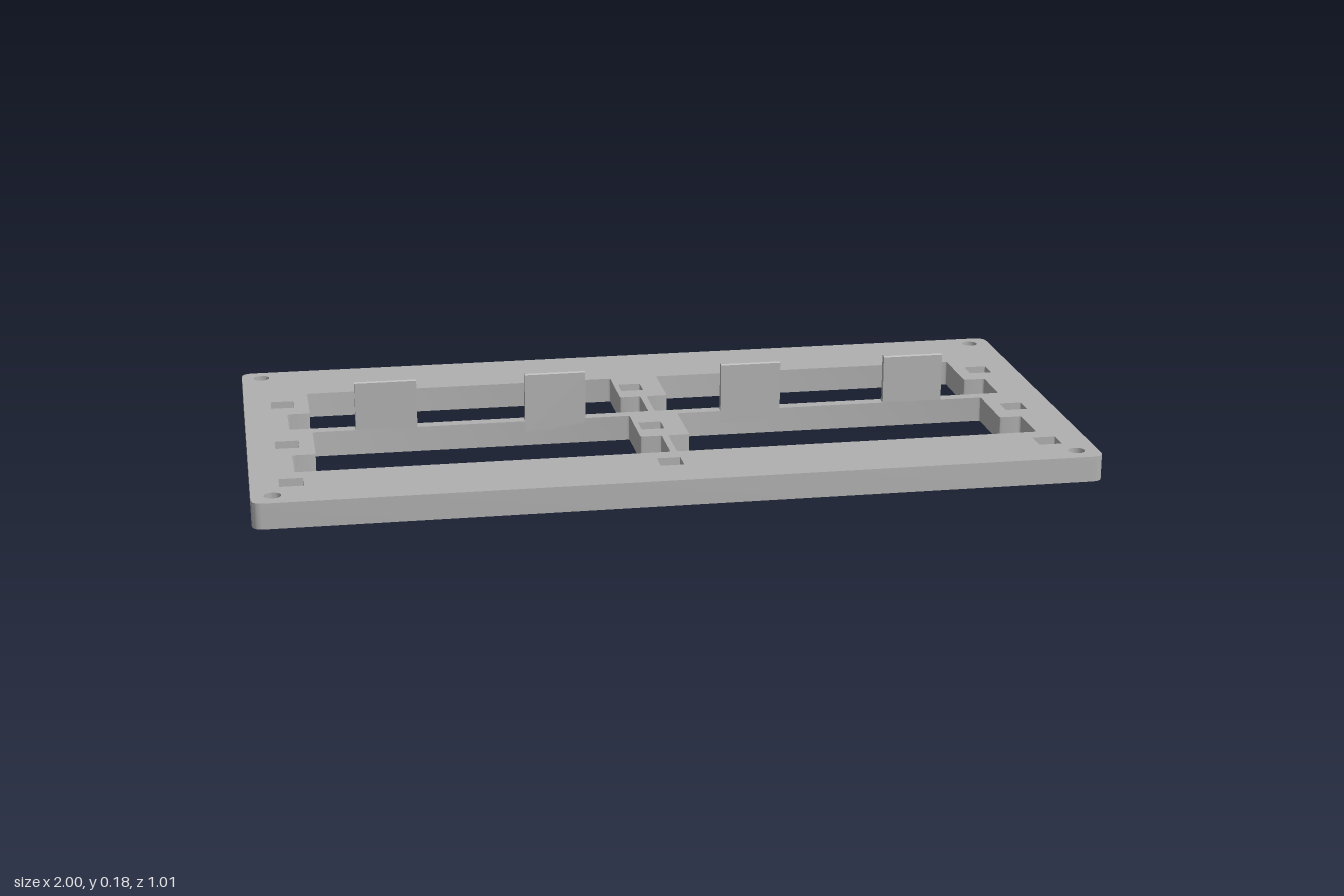
import * as THREE from 'three';
import { toCreasedNormals } from 'three/addons/utils/BufferGeometryUtils.js';

const H = 0.062; // plate thickness

// Closed outline with rounded corners, points given as [x, z]
function roundedPath(path, pts, r) {
  const v = pts.map(([x, z]) => new THREE.Vector2(x, z));
  v.forEach((p, i) => {
    const prev = v[(i + v.length - 1) % v.length], next = v[(i + 1) % v.length];
    const a = p.clone().add(prev.clone().sub(p).setLength(r));
    const b = p.clone().add(next.clone().sub(p).setLength(r));
    if (i === 0) path.moveTo(a.x, a.y); else path.lineTo(a.x, a.y);
    path.quadraticCurveTo(p.x, p.y, b.x, b.y);
  });
  path.closePath();
  return path;
}

const rect = (x0, x1, z0, z1) => [[x0, z0], [x1, z0], [x1, z1], [x0, z1]];

// Side profile in [z, y], extruded along x
function sideExtrude(pts, width) {
  const shape = new THREE.Shape(pts.map(([z, y]) => new THREE.Vector2(-z, y)));
  return new THREE.ExtrudeGeometry(shape, { depth: width, bevelEnabled: false })
    .translate(0, 0, -width / 2).rotateY(Math.PI / 2);
}

export function createModel() {
  const model = new THREE.Group();
  model.name = 'mountingFrame';
  const grey = new THREE.MeshStandardMaterial({ color: 0xb0b0b0 });
  grey.name = 'grey plastic';

  const add = (name, geometry, x = 0, z = 0) => {
    const mesh = new THREE.Mesh(geometry, grey);
    mesh.name = name;
    mesh.position.set(x, 0, z);
    model.add(mesh);
  };

  // Base plate with stepped openings
  const plate = roundedPath(new THREE.Shape(), rect(-1, 1, -0.504, 0.504), 0.03);
  for (const s of [-1, 1]) {
    for (const [z0, step, z1] of [[-0.303, -0.14, -0.018], [0.012, 0.178, 0.3]]) {
      const pts = [
        [0.06, z0], [0.84, z0], [0.84, step], [0.895, step],
        [0.895, z1], [0.008, z1], [0.008, step], [0.06, step],
      ].map(([x, z]) => [s * x, z]);
      plate.holes.push(roundedPath(new THREE.Path(), pts, 0.006));
    }
  }

  // Square slots
  for (const x of [-0.905, -0.02, 0.9])
    for (const z of [-0.22, 0.096, 0.37])
      plate.holes.push(new THREE.Path(
        rect(x - 0.028, x + 0.028, z - 0.027, z + 0.027).map(p => new THREE.Vector2(...p))));

  // Round screw holes in the corners
  for (const x of [-0.95, 0.947])
    for (const z of [-0.457, 0.453])
      plate.holes.push(new THREE.Path().absarc(x, z, 0.02, 0, Math.PI * 2));

  const plateGeometry = new THREE.ExtrudeGeometry(plate, { depth: H, bevelEnabled: false, curveSegments: 8 })
    .rotateX(Math.PI / 2).translate(0, H, 0);
  add('basePlate', toCreasedNormals(plateGeometry, 0.6));

  // Upright tabs on the centre bar, and sloping ramps behind the bar and the front rail
  const W = 0.15;
  const tab = sideExtrude([[-0.003, 0.03], [0.012, 0.03], [0.012, 0.18], [0.009, 0.183], [0, 0.183], [-0.003, 0.18]], W);
  const barRamp = sideExtrude([[-0.075, 0], [0, 0], [0, 0.072], [-0.003, 0.072]], W);
  const railRamp = sideExtrude([[0.238, 0], [0.301, 0], [0.301, H]], W);
  for (const x of [-0.66, -0.245, 0.245, 0.66]) {
    add('uprightTab', tab, x);
    add('barRamp', barRamp, x);
    add('railRamp', railRamp, x);
  }
  return model;
}
